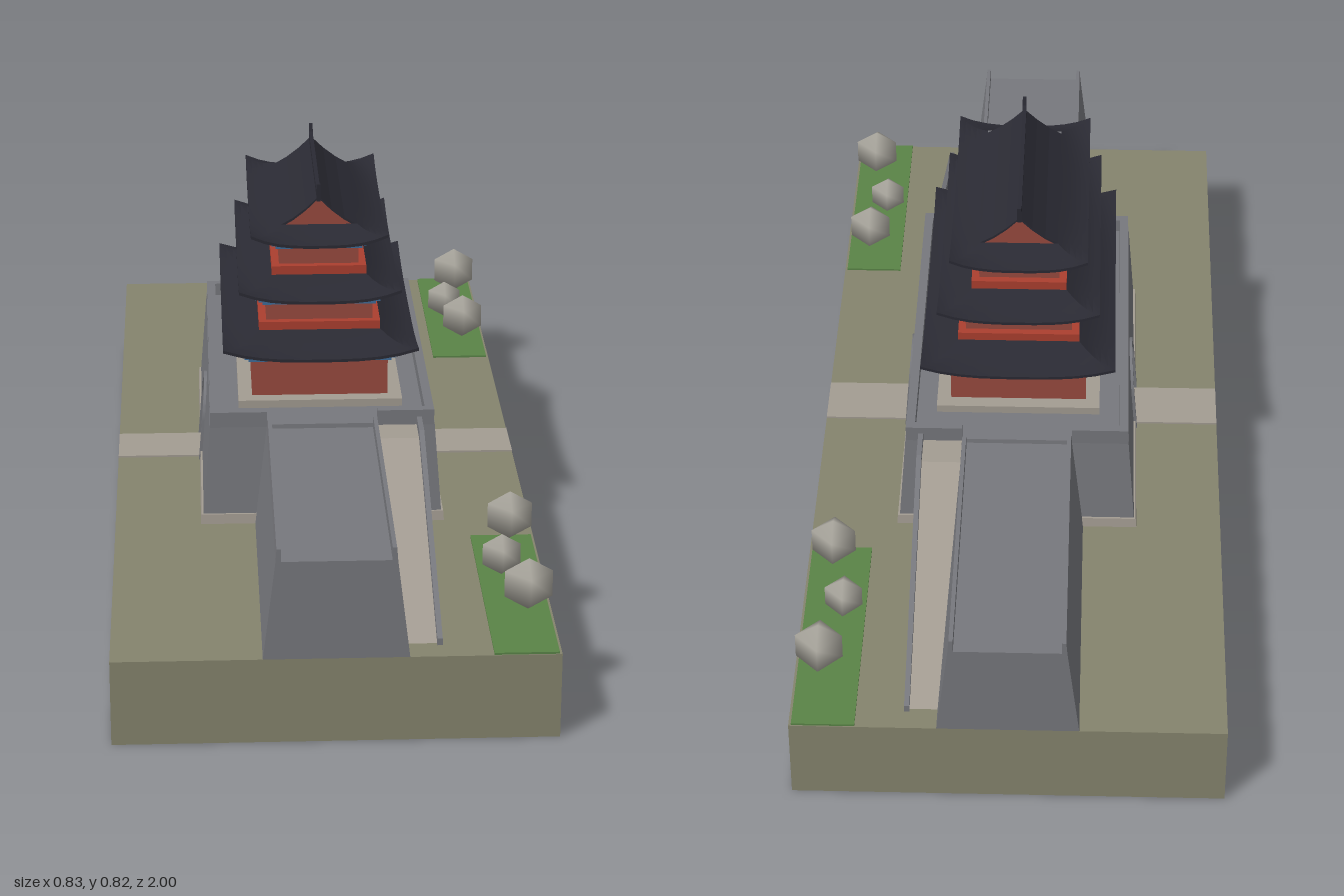
import * as THREE from 'three';
import { toCreasedNormals } from 'three/addons/utils/BufferGeometryUtils.js';

const mat = (name, color, side = THREE.FrontSide) => {
  const m = new THREE.MeshStandardMaterial({ color, side });
  m.name = name;
  return m;
};

export function createModel() {
  const model = new THREE.Group();
  model.name = 'gateTower';
  const earth = mat('earth', 0x85846d), wallGrey = mat('wall grey', 0x77787d), stone = mat('pale stone', 0xa39c92);
  const grass = mat('grass green', 0x5a8447), tile = mat('dark tile', 0x2a2a33), timber = mat('red timber', 0x984a3f);
  const rail = mat('bright red', 0xab3f2f), paint = mat('blue paint', 0x3f6c98), leaf = mat('pale foliage', 0xaaa79e);

  const add = (name, geo, material) => {
    const m = new THREE.Mesh(geo, material);
    m.name = name;
    model.add(m);
    return m;
  };
  // Box given by its limits
  const box = (name, material, x0, x1, y0, y1, z0, z1) => {
    const g = new THREE.BoxGeometry(Math.abs(x1 - x0), y1 - y0, Math.abs(z1 - z0));
    add(name, g.translate((x0 + x1) / 2, (y0 + y1) / 2, (z0 + z1) / 2), material);
  };
  const poly = (pts) => new THREE.Shape(pts.map(([a, b]) => new THREE.Vector2(a, b)));
  // Outline in (z, y) extruded across x, or in (x, y) extruded along z
  const acrossX = (shape, x0, x1) =>
    new THREE.ExtrudeGeometry(shape, { depth: x1 - x0, bevelEnabled: false, curveSegments: 16 })
      .rotateY(-Math.PI / 2).translate(x1, 0, 0);
  const alongZ = (shape, z0, z1) =>
    new THREE.ExtrudeGeometry(shape, { depth: z1 - z0, bevelEnabled: false }).translate(0, 0, z0);
  // Battered faces: x shrinks with height
  const batter = (geo) => {
    const p = geo.attributes.position;
    for (let i = 0; i < p.count; i++) p.setX(i, p.getX(i) * (1 - 0.075 * (p.getY(i) - 0.17) / 0.23));
    return toCreasedNormals(geo, 0.6);
  };

  // Ground block, lawns, shrubs and road
  box('ground', earth, -0.415, 0.415, 0, 0.17, -1, 1);
  box('road', stone, -0.415, 0.415, 0.169, 0.174, -0.06, 0.06);
  for (const s of [-1, 1]) {
    box('lawn', grass, 0.29, 0.41, 0.169, 0.174, s * 0.485, s * 0.998);
    for (const [x, y, z, r] of [[0.365, 0.247, 0.86, 0.052], [0.33, 0.233, 0.7, 0.042], [0.36, 0.247, 0.55, 0.05]]) {
      add('shrub', new THREE.SphereGeometry(r, 4, 3).translate(x, y, s * z), leaf);
    }
  }

  // Gate platform with arched passage
  const W = 0.064, SPRING = 0.258;
  const platform = poly([[-0.397, 0.17], [-W, 0.17], [-W, SPRING]]);
  platform.absarc(0, SPRING, W, Math.PI, 0, true);
  [[W, 0.17], [0.397, 0.17], [0.38, 0.375], [-0.38, 0.375]].forEach(([a, b]) => platform.lineTo(a, b));
  add('gatePlatform', batter(acrossX(platform, -0.24, 0.24)), wallGrey);
  for (const s of [-1, 1]) {
    // Arch surround
    const R = W + 0.013, arch = poly([[-R, 0.17], [-W, 0.17], [-W, SPRING]]);
    arch.absarc(0, SPRING, W, Math.PI, 0, true);
    [[W, 0.17], [R, 0.17], [R, SPRING]].forEach(([a, b]) => arch.lineTo(a, b));
    arch.absarc(0, SPRING, R, 0, Math.PI, false);
    add('archSurround', batter(acrossX(arch, s > 0 ? 0.2 : -0.246, s > 0 ? 0.246 : -0.2)), wallGrey);
    // Footing and parapet
    const foot = poly([[s * R, 0.17], [s * 0.402, 0.17], [s * 0.4, 0.19], [s * R, 0.19]]);
    for (const f of [-1, 1]) {
      add('footing', batter(acrossX(foot, f > 0 ? 0.13 : -0.244, f > 0 ? 0.244 : -0.13)), stone);
      box('platformParapetEnd', wallGrey, f * 0.11, f * 0.223, 0.37, 0.402, s * 0.362, s * 0.381);
    }
    box('platformParapetSide', wallGrey, s * 0.205, s * 0.223, 0.37, 0.402, -0.38, 0.38);
  }
  box('towerPlinth', stone, -0.165, 0.165, 0.374, 0.391, -0.293, 0.293);

  // City wall, walkway parapets and ramps on both ends
  const wall = poly([[-0.135, 0.17], [0.135, 0.17], [0.111, 0.366], [-0.111, 0.366]]);
  for (const s of [-1, 1]) {
    add('cityWall', alongZ(wall, s > 0 ? 0.37 : -1, s > 0 ? 1 : -0.37), wallGrey);
    for (const f of [-1, 1]) {
      const lip = poly([[f * 0.111, 0.366], [f * 0.109, 0.391], [f * 0.101, 0.391], [f * 0.101, 0.36]]);
      add('wallParapet', alongZ(lip, s > 0 ? 0.38 : -1, s > 0 ? 1 : -0.38), wallGrey);
    }
    const ramp = poly([[0.37, 0.17], [0.94, 0.17], [0.45, 0.364], [0.37, 0.364]].map(([z, y]) => [s * z, y]));
    add('ramp', acrossX(ramp, 0.1, 0.19), wallGrey);
    const tread = poly([[0.94, 0.17], [0.95, 0.172], [0.45, 0.371], [0.37, 0.371], [0.37, 0.363], [0.45, 0.363]]
      .map(([z, y]) => [s * z, y]));
    add('rampSurface', acrossX(tread, 0.108, 0.189), stone);
    const guard = poly([[0.37, 0.17], [0.955, 0.17], [0.955, 0.184], [0.45, 0.388], [0.37, 0.388]]
      .map(([z, y]) => [s * z, y]));
    add('rampGuard', acrossX(guard, 0.188, 0.198), wallGrey);
  }

  // Rectangular ring of points; corner lift raises the ends of each side
  const SEG = 10;
  const ring = (hx, hz, y, lift) => {
    const c = [[hx, hz], [hx, -hz], [-hx, -hz], [-hx, hz]], out = [];
    for (let k = 0; k < 4; k++) {
      const a = c[k], b = c[(k + 1) % 4];
      for (let i = 0; i < SEG; i++) {
        const t = i / SEG;
        out.push([a[0] + (b[0] - a[0]) * t, y + lift * Math.abs(2 * t - 1) ** 3, a[1] + (b[1] - a[1]) * t]);
      }
    }
    return out;
  };
  const loft = (rings) => {
    const pos = [], n = SEG * 4;
    for (let k = 0; k + 1 < rings.length; k++) {
      for (let i = 0; i < n; i++) {
        const j = (i + 1) % n, a = rings[k][i], b = rings[k][j], c = rings[k + 1][j], d = rings[k + 1][i];
        pos.push(...a, ...d, ...b, ...b, ...d, ...c);
      }
    }
    const g = new THREE.BufferGeometry();
    g.setAttribute('position', new THREE.Float32BufferAttribute(pos, 3));
    g.computeVertexNormals();
    return toCreasedNormals(g, 0.5);
  };

  // Three storeys: body, brackets, curved eaves, balcony rail band
  const DZ = 0.127, LIFT = 0.022;
  const storeys = [
    { half: 0.137, y0: 0.39, y1: 0.466, eave: 0.195, inner: 0.122, top: 0.526 },
    { half: 0.107, y0: 0.543, y1: 0.577, eave: 0.162, inner: 0.095, top: 0.634, band: 0.122, b0: 0.515 },
    { half: 0.08, y0: 0.652, y1: 0.686, eave: 0.137, inner: 0.077, top: 0.734, band: 0.095, b0: 0.622 },
  ];
  for (const { half, y0, y1, eave, inner, top, band, b0 } of storeys) {
    const slab = (name, m, h, a, b) => box(name, m, -h, h, a, b, -h - DZ, h + DZ);
    slab('storeyWall', timber, half, y0, y1);
    if (band) slab('balconyBand', rail, band, b0, y0);
    for (let i = 0; i < 3; i++) slab('bracketTier', paint, half + 0.007 + i * 0.008, y1 + i * 0.008, y1 + i * 0.008 + 0.008);
    const yE = y1 + 0.023, skin = [];
    for (let k = 0; k <= 5; k++) {
      const t = k / 5, h = inner + (eave - inner) * t;
      skin.push(ring(h, h + DZ, yE + (top - yE) * (1 - t) ** 1.5, LIFT * t * t));
    }
    const lip = ring(eave, eave + DZ, yE - 0.006, LIFT);
    skin.push(lip);
    add('eaveRoof', loft(skin), tile);
    add('eaveSoffit', loft([lip, ring(half + 0.01, half + 0.01 + DZ, yE, 0)]), timber);
  }

  // Gabled top roof with ridge and finials
  const slope = [[0.078, 0.731], [0.052, 0.746], [0.026, 0.766], [0, 0.791]];
  const outline = [...slope, ...slope.slice(0, 3).reverse().map(([x, y]) => [-x, y])];
  const under = outline.map(([x, y]) => [x * 0.97, y - 0.004]).reverse();
  add('topRoof', alongZ(poly([...outline, ...under]), -0.2, 0.2), tile);
  add('gable', alongZ(poly([...under, [0.07, 0.722], [-0.07, 0.722]].reverse()), -0.198, 0.198), timber);
  box('ridge', tile, -0.004, 0.004, 0.78, 0.8, -0.2, 0.2);
  for (const s of [-1, 1]) {
    const finial = poly([[0.182, 0.79], [0.205, 0.785], [0.207, 0.818], [0.2, 0.818], [0.195, 0.803]].map(([z, y]) => [s * z, y]));
    add('ridgeFinial', acrossX(finial, -0.004, 0.004), tile);
  }
  return model;
}
